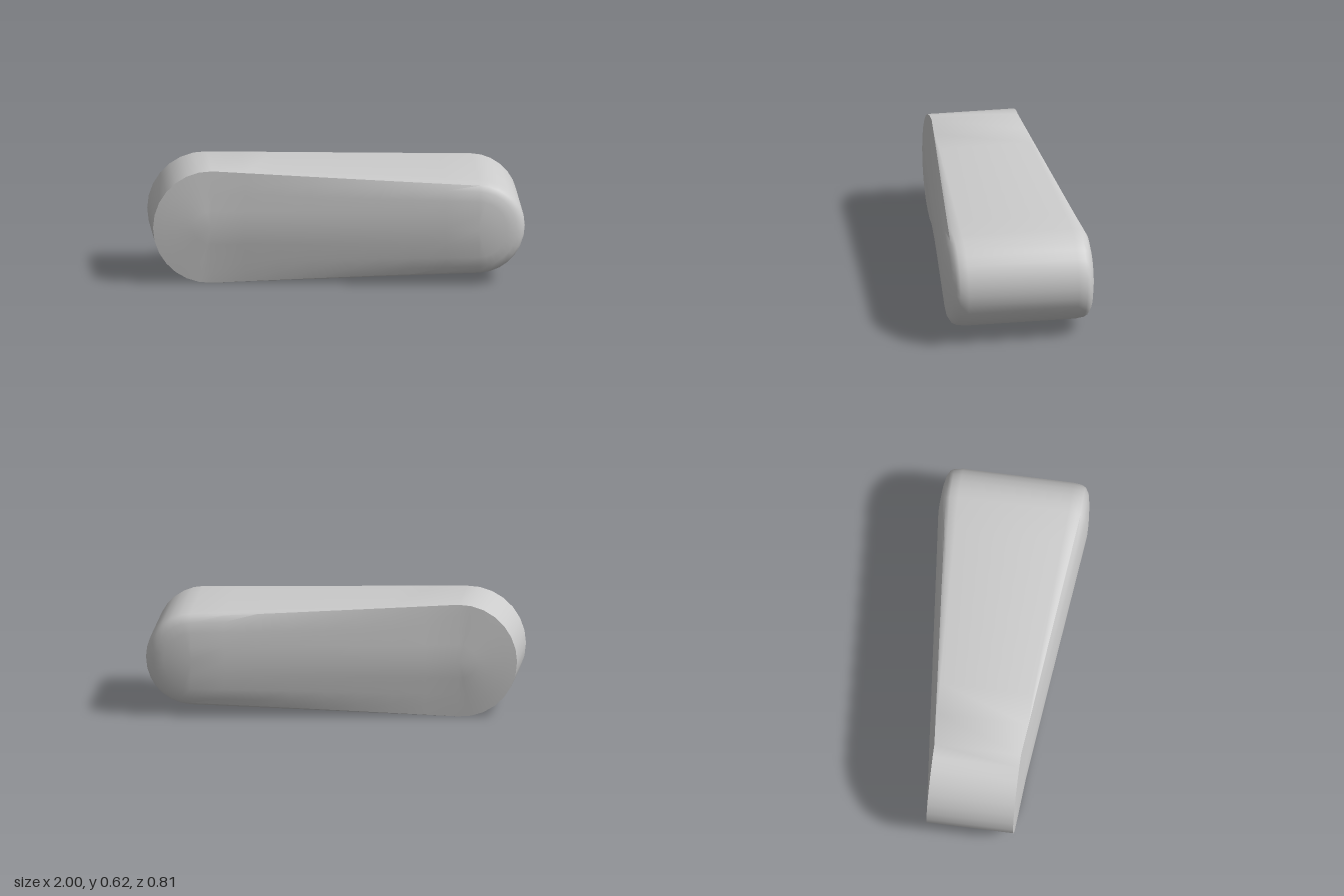
import * as THREE from 'three';
import { toCreasedNormals } from 'three/addons/utils/BufferGeometryUtils.js';

const MID_Y = 0.308;
const NARROW = { x: -0.692, r: 0.308 }; // tall, narrow, sharp-edged end
const WIDE = { x: 0.745, r: 0.255 };    // low, wide, rounded end

// Each ring runs round the body: f = inset towards the spine, z = half width
const WIDE_RINGS = [[0, 0.30], [0.025, 0.345], [0.07, 0.366], [0.19, 0.384], [0.4, 0.395], [0.7, 0.402], [1, 0.405]];
const NARROW_RINGS = [[0, 0.235], [0, 0.235], [0, 0.235], [0.19, 0.241], [0.4, 0.247], [0.7, 0.256], [1, 0.265]];

// Tapered stadium outline, counter-clockwise; each point knows its spine point
function makeOutline() {
  const points = [];
  const tilt = Math.acos((NARROW.r - WIDE.r) / (WIDE.x - NARROW.x));
  const add = (cx, r, a) => points.push({
    x: cx + r * Math.cos(a), y: MID_Y + r * Math.sin(a), spineX: cx,
  });
  const arcSteps = 14, sideSteps = 8;
  const arc = (end, from, to) => {
    for (let i = 0; i <= arcSteps; i++) add(end.x, end.r, THREE.MathUtils.lerp(from, to, i / arcSteps));
  };
  const side = (from, to, a) => {
    for (let i = 1; i < sideSteps; i++) {
      const t = i / sideSteps;
      add(THREE.MathUtils.lerp(from.x, to.x, t), THREE.MathUtils.lerp(from.r, to.r, t), a);
    }
  };
  arc(WIDE, -tilt, tilt);
  side(WIDE, NARROW, tilt);
  arc(NARROW, tilt, 2 * Math.PI - tilt);
  side(NARROW, WIDE, -tilt);
  return points;
}

function makeBody() {
  const { lerp } = THREE.MathUtils;
  const outline = makeOutline();
  const ring = (k, sign) => outline.map((p) => {
    const s = (p.spineX - NARROW.x) / (WIDE.x - NARROW.x);
    const f = lerp(NARROW_RINGS[k][0], WIDE_RINGS[k][0], s);
    const z = lerp(NARROW_RINGS[k][1], WIDE_RINGS[k][1], s);
    return new THREE.Vector3(lerp(p.x, p.spineX, f), lerp(p.y, MID_Y, f), sign * z);
  });

  // Rings from the back spine, over the edge, to the front spine
  const rings = [];
  for (let k = WIDE_RINGS.length - 1; k >= 0; k--) rings.push(ring(k, -1));
  for (let k = 0; k < WIDE_RINGS.length; k++) rings.push(ring(k, 1));

  const positions = [];
  const triangle = (a, b, c) => {
    if (new THREE.Triangle(a, b, c).getArea() < 1e-8) return; // collapsed rings
    for (const v of [a, b, c]) positions.push(v.x, v.y, v.z);
  };
  const n = outline.length;
  for (let j = 0; j < rings.length - 1; j++) {
    for (let i = 0; i < n; i++) {
      const a = rings[j][i], b = rings[j][(i + 1) % n];
      const c = rings[j + 1][(i + 1) % n], d = rings[j + 1][i];
      triangle(a, b, c);
      triangle(a, c, d);
    }
  }
  const geometry = new THREE.BufferGeometry();
  geometry.setAttribute('position', new THREE.Float32BufferAttribute(positions, 3));
  return toCreasedNormals(geometry, 0.6);
}

export function createModel() {
  const model = new THREE.Group();
  model.name = 'taperedBlock';
  const body = new THREE.Mesh(makeBody(), new THREE.MeshStandardMaterial({ color: 0xcccccc }));
  body.name = 'body';
  model.add(body);
  return model;
}
